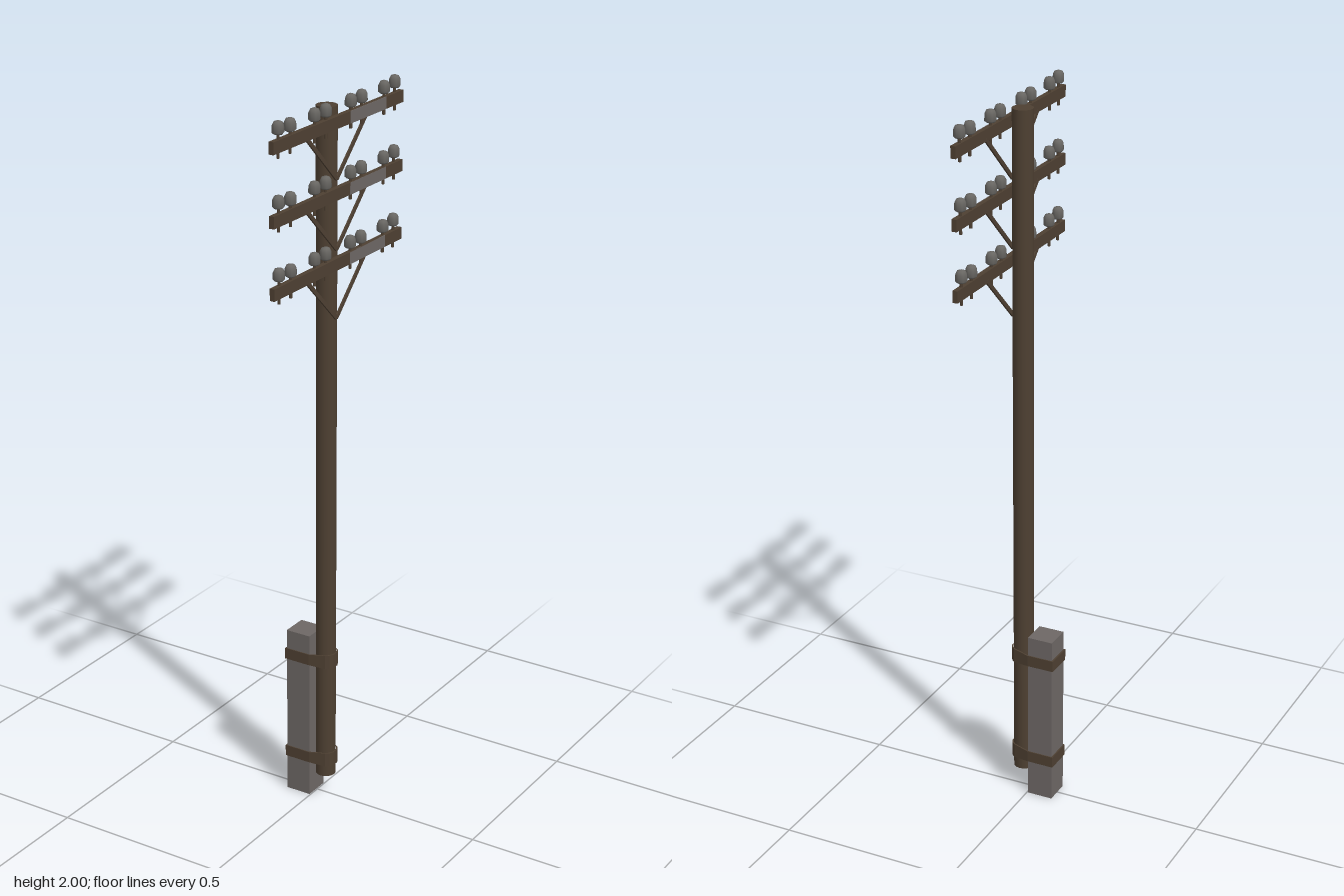
import * as THREE from 'three';

const mat = (name, color, side = THREE.FrontSide) => {
  const m = new THREE.MeshStandardMaterial({ color, side });
  m.name = name;
  return m;
};

export function createModel() {
  const wood = mat('dark wood', 0x4e4032);
  const concrete = mat('concrete grey', 0x6d6765, THREE.DoubleSide);
  const ceramic = mat('insulator grey', 0x686662);
  const root = new THREE.Group();
  root.name = 'utilityPole';

  const add = (parent, name, geometry, material, x = 0, y = 0, z = 0) => {
    const mesh = new THREE.Mesh(geometry, material);
    mesh.name = name;
    mesh.position.set(x, y, z);
    parent.add(mesh);
    return mesh;
  };

  // Round pole, held clear of the ground by the footing
  const poleX = 0.028;
  add(root, 'pole', new THREE.CylinderGeometry(0.028, 0.028, 1.908, 16), wood, poleX, 1.02, 0);

  // Square footing post, open underneath
  const post = new THREE.BoxGeometry(0.073, 0.496, 0.074);
  const faces = Array.from(post.index.array);
  faces.splice(18, 6);
  post.setIndex(faces);
  post.clearGroups();
  add(root, 'footingPost', post, concrete, -0.0395, 0.248, -0.001);

  // Straps wrapping the post and the pole, a little taller at the pole
  const outline = (g) => {
    const half = [[-0.076 - g, 0.036 + g], [-0.003, 0.036 + g]];
    for (const deg of [62, 40, 18]) {
      const a = THREE.MathUtils.degToRad(deg);
      half.push([poleX + (0.0285 + g) * Math.cos(a), (0.0285 + g) * Math.sin(a)]);
    }
    const mirrored = half.map(([x, z]) => [x, -z]).reverse();
    return [...half, ...mirrored].map(([x, z]) => new THREE.Vector2(x, z));
  };
  const strapShape = new THREE.Shape(outline(0.004));
  strapShape.holes.push(new THREE.Path(outline(0)));
  const strap = new THREE.ExtrudeGeometry(strapShape, { depth: 0.032, bevelEnabled: false });
  strap.translate(0, 0, -0.016).rotateX(-Math.PI / 2);
  const p = strap.attributes.position;
  for (let i = 0; i < p.count; i++) if (p.getX(i) > 0) p.setY(i, p.getY(i) * 1.28);
  strap.computeVertexNormals();
  for (const y of [0.12, 0.425]) add(root, 'strap', strap, wood, 0, y, -0.001);

  // Shared crossarm pieces
  const armGeometry = new THREE.BoxGeometry(0.014, 0.032, 0.612);
  const plateGeometry = new THREE.BoxGeometry(0.002, 0.032, 0.175);
  const pinGeometry = new THREE.CylinderGeometry(0.004, 0.004, 0.064, 6);
  const capGeometry = new THREE.LatheGeometry(
    [[0, 0], [0.011, 0], [0.016, 0.005], [0.0155, 0.022], [0.011, 0.031], [0, 0.035]]
      .map(([r, y]) => new THREE.Vector2(r, y)), 8);
  const braceRise = 0.14, braceRun = 0.145;
  const braceGeometry = new THREE.BoxGeometry(0.005, 0.011, Math.hypot(braceRise, braceRun));

  for (const y of [1.567, 1.752, 1.937]) {
    const arm = new THREE.Group();
    arm.name = 'crossarm';
    arm.position.set(0.063, y, 0);
    root.add(arm);
    add(arm, 'beam', armGeometry, wood);
    add(arm, 'greyPlate', plateGeometry, concrete, 0.0065, 0, -0.133);

    for (const side of [-1, 1]) {
      // Diagonal brace down to the pole
      const brace = add(arm, 'brace', braceGeometry, wood, -0.005, -0.08, side * braceRun / 2);
      brace.rotation.x = -side * Math.atan2(braceRise, braceRun);

      // Insulators in pairs
      for (const z of [0.059, 0.111, 0.221, 0.274]) {
        add(arm, 'insulatorPin', pinGeometry, wood, -0.001, 0, side * z);
        add(arm, 'insulatorCap', capGeometry, ceramic, -0.001, z > 0.25 ? 0.028 : 0.024, side * z);
      }
    }
  }
  return root;
}
